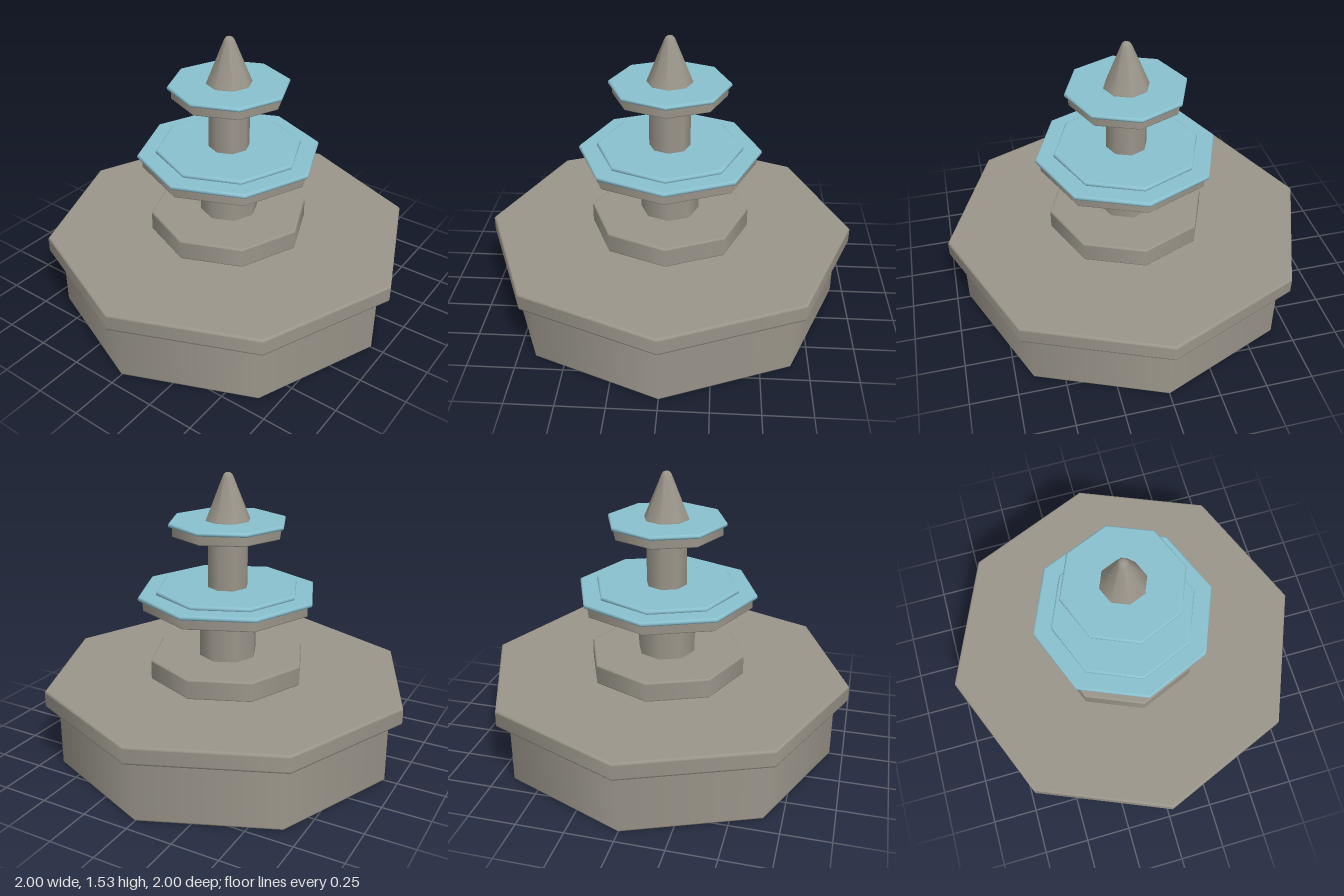
import * as THREE from 'three';

const SIDES = 8;

export function createModel() {
  const fountain = new THREE.Group();
  fountain.name = 'fountain';
  const stone = new THREE.MeshStandardMaterial({ name: 'stone', color: 0x9a958a });
  const water = new THREE.MeshStandardMaterial({ name: 'water', color: 0x8ac0ce });

  const addLathe = (name, profile, material) => {
    const points = profile.map(([r, y]) => new THREE.Vector2(r, y));
    const mesh = new THREE.Mesh(new THREE.LatheGeometry(points, SIDES), material);
    mesh.name = name;
    fountain.add(mesh);
  };

  // Octagonal slab with softly bevelled rims; the extra rings keep the faces flat.
  const addSlab = (name, r, y0, y1, material, bevel = 0.008) => {
    const e = bevel / 4;
    addLathe(name, [
      [0, y0], [r - bevel - e, y0], [r - bevel, y0],
      [r - bevel * 0.3, y0 + bevel * 0.3],
      [r, y0 + bevel], [r, y0 + bevel + e],
      [r, y1 - bevel - e], [r, y1 - bevel],
      [r - bevel * 0.3, y1 - bevel * 0.3],
      [r - bevel, y1], [r - bevel - e, y1], [0, y1],
    ], material);
  };

  // Base and broad rim
  addSlab('base', 0.93, 0, 0.345, stone);
  addSlab('baseRim', 1, 0.34, 0.434, stone, 0.01);

  // Pedestal and lower tier
  addSlab('pedestal', 0.43, 0.43, 0.541, stone);
  addSlab('lowerColumn', 0.158, 0.535, 0.83, stone, 0.004);
  addSlab('lowerBowl', 0.465, 0.825, 0.885, stone, 0.005);
  addSlab('lowerWaterRim', 0.49, 0.88, 0.905, water, 0.009);
  addSlab('lowerWater', 0.392, 0.9, 0.925, water, 0.009);

  // Upper tier
  addSlab('upperColumn', 0.11, 0.92, 1.215, stone, 0.004);
  addSlab('upperBowl', 0.3, 1.212, 1.265, stone, 0.005);
  addSlab('upperWater', 0.32, 1.262, 1.285, water, 0.009);

  // Finial with a blunt tip
  addLathe('finial', [
    [0, 1.28], [0.12, 1.28], [0.121, 1.284], [0.119, 1.29],
    [0.03, 1.508], [0.024, 1.52], [0.015, 1.529], [0, 1.531],
  ], stone);

  return fountain;
}
